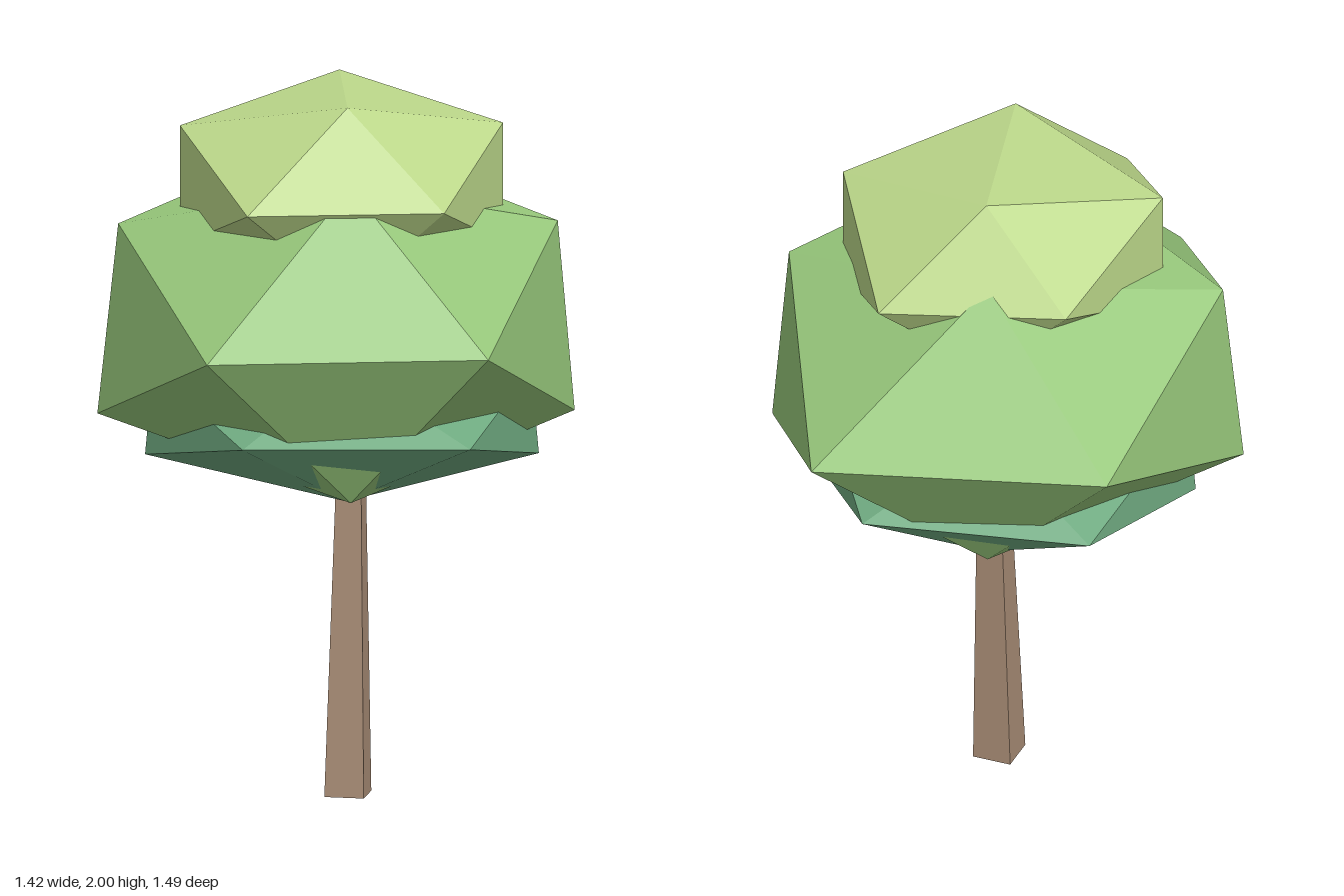
import * as THREE from 'three';

// Icosahedron faces over the twelve corners of a foliage clump.
const FACES = [
  0, 11, 5, 0, 5, 1, 0, 1, 7, 0, 7, 10, 0, 10, 11,
  1, 5, 9, 5, 11, 4, 11, 10, 2, 10, 7, 6, 7, 1, 8,
  3, 9, 4, 3, 4, 2, 3, 2, 6, 3, 6, 8, 3, 8, 9,
  4, 9, 5, 2, 4, 11, 6, 2, 10, 8, 6, 7, 9, 8, 1,
];

const flat = (color) => new THREE.MeshStandardMaterial({ color, flatShading: true });

// Squashed icosahedron: each layer is a pair of [x, z] corners,
// repeated above and below the widest level at height y.
function clump(name, color, { y, tip, shoulder, tips, upper, lower, rim }) {
  const at = (pair, h) => pair.map(([x, z]) => [x, h, z]);
  const corners = [
    ...at(tips, y + tip),
    ...at(tips, y - tip),
    ...at(lower, y - shoulder),
    ...at(upper, y + shoulder),
    ...at(rim, y),
  ];
  // Interleave to right low, right high, left low, left high
  [corners[5], corners[6]] = [corners[6], corners[5]];
  const indexed = new THREE.BufferGeometry();
  indexed.setAttribute('position', new THREE.Float32BufferAttribute(corners.flat(), 3));
  indexed.setIndex(FACES);
  const geometry = indexed.toNonIndexed();
  geometry.computeVertexNormals();
  const mesh = new THREE.Mesh(geometry, flat(color));
  mesh.name = name;
  return mesh;
}

// Four-sided tapering trunk, leaning slightly towards its base
function trunk() {
  const height = 1;
  const geometry = new THREE.CylinderGeometry(0.047, 0.079, height, 4);
  geometry.translate(0, height / 2, 0);
  const p = geometry.attributes.position;
  for (let i = 0; i < p.count; i++) {
    const k = 1 - p.getY(i) / height;
    p.setX(i, p.getX(i) - 0.03 * k);
    p.setZ(i, p.getZ(i) + 0.027 + 0.027 * k);
  }
  geometry.computeVertexNormals();
  const mesh = new THREE.Mesh(geometry, flat(0xa98d76));
  mesh.name = 'trunk';
  return mesh;
}

export function createModel() {
  const tree = new THREE.Group();
  tree.name = 'tree';
  tree.add(
    trunk(),
    clump('lowerFoliage', 0x6faa80, {
      y: 1.08, tip: 0.19, shoulder: 0.12,
      tips: [[-0.19, 0.28], [0.14, -0.26]],
      upper: [[0.42, 0.3], [-0.46, -0.28]],
      lower: [[0.44, 0.31], [-0.48, -0.29]],
      rim: [[-0.02, -0.62], [0.52, -0.27], [-0.55, 0.3], [-0.02, 0.65]],
    }),
    clump('middleFoliage', 0x97c87b, {
      y: 1.35, tip: 0.45, shoulder: 0.27,
      tips: [[-0.22, 0.35], [0.16, -0.315]],
      upper: [[0.49, 0.33], [-0.55, -0.32]],
      lower: [[0.53, 0.355], [-0.6, -0.35]],
      rim: [[-0.02, -0.745], [0.71, -0.355], [-0.71, 0.36], [-0.02, 0.74]],
    }),
    clump('topFoliage', 0xbcd88a, {
      y: 1.73, tip: 0.27, shoulder: 0.17,
      tips: [[-0.16, 0.245], [0.12, -0.21]],
      upper: [[0.36, 0.25], [-0.41, -0.22]],
      lower: [[0.36, 0.25], [-0.41, -0.22]],
      rim: [[-0.02, -0.45], [0.45, -0.22], [-0.5, 0.25], [-0.02, 0.52]],
    }),
  );
  return tree;
}
